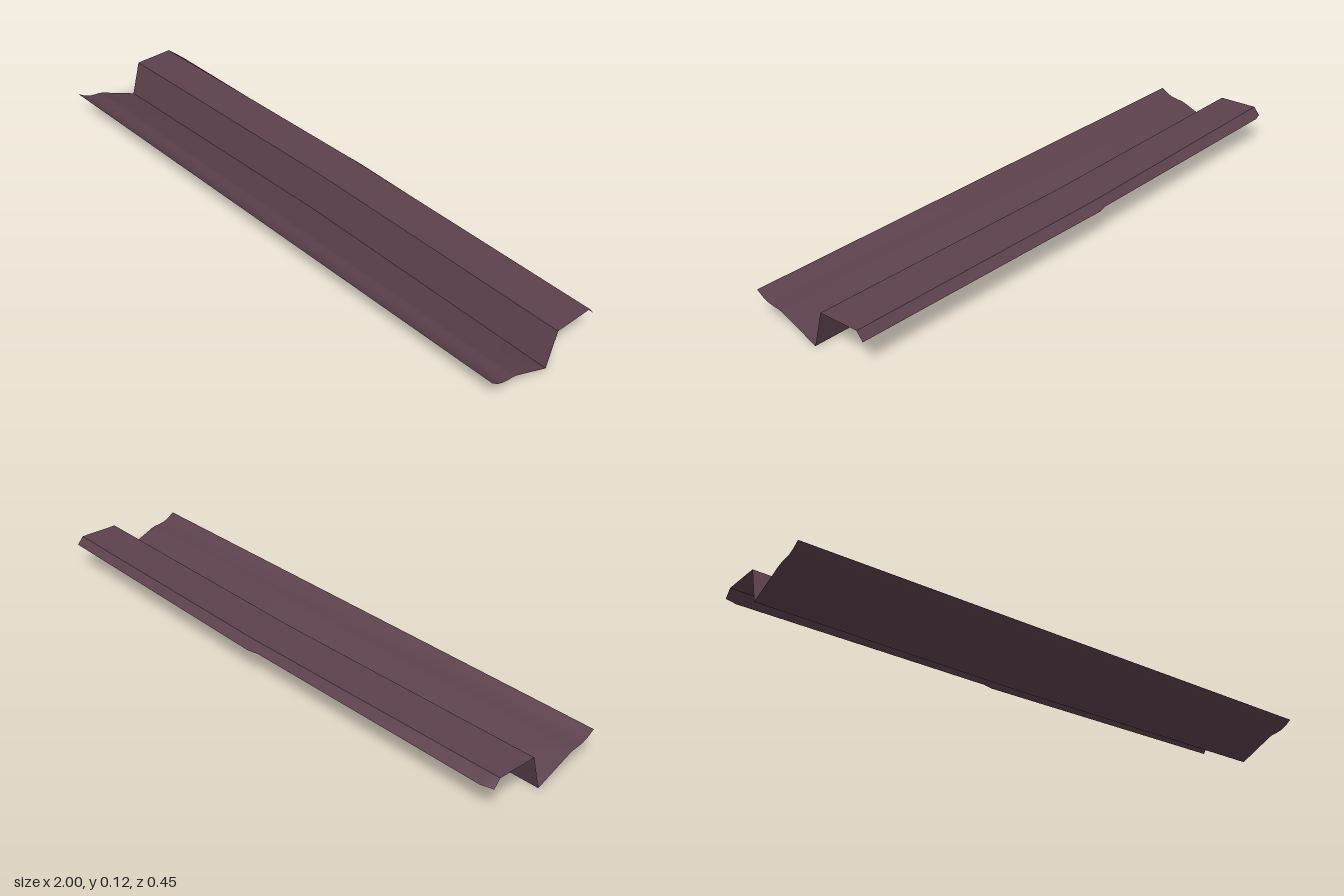
import * as THREE from 'three';

// Stations along the length; the middle bows slightly backwards.
const stations = [-1, -0.96, -0.75, -0.5, -0.25, -0.04, 0, 0.25, 0.5, 0.75, 1];
const bow = (x) => 0.016 * (1 - Math.abs(x));

// Rear edge of the hem: stepped on the -x half, straight taper on the other.
function hemEdge(x) {
  if (x >= 0) return -0.228 + 0.023 * x;
  if (x <= -0.96) return -0.205 - 0.012 * (x + 1) / 0.04;
  if (x <= -0.04) return -0.217 - 0.002 * (x + 0.96) / 0.92;
  return -0.228 - 0.009 * x / 0.04;
}

// Fold lines shared by neighbouring strips, as [z, y] at each x
const bottomFold = (x) => [-0.008 - bow(x), 0];
const topFold = (x) => [-0.042 - bow(x), 0.12];
const rearFold = (x) => [-0.183 - bow(x), 0.12];
const rearEdge = (x) => [hemEdge(x), 0.093];

// Sheet strip between lines listed from front to back
function strip(name, lines, material) {
  const positions = [];
  const index = [];
  const n = stations.length;
  for (const line of lines) {
    for (const x of stations) {
      const [z, y] = line(x);
      positions.push(x, y, z);
    }
  }
  for (let j = 0; j < lines.length - 1; j++) {
    for (let i = 0; i < n - 1; i++) {
      const a = j * n + i;
      index.push(a, a + 1, a + n + 1, a, a + n + 1, a + n);
    }
  }
  const geometry = new THREE.BufferGeometry();
  geometry.setAttribute('position', new THREE.Float32BufferAttribute(positions, 3));
  geometry.setIndex(index);
  geometry.computeVertexNormals();
  const mesh = new THREE.Mesh(geometry, material);
  mesh.name = name;
  return mesh;
}

export function createModel() {
  const group = new THREE.Group();
  group.name = 'foldedSheetProfile';
  const sheet = new THREE.MeshStandardMaterial({ color: 0x5c414c, side: THREE.DoubleSide });
  sheet.name = 'plum sheet metal';

  // Front flap with its gently curled lip
  const curl = [[0.227, 0.092], [0.203, 0.076], [0.182, 0.067], [0.16, 0.063], [0.14, 0.061], [0.125, 0.057]];
  const flapLines = curl.map((point) => () => point);

  group.add(
    strip('frontFlap', [...flapLines, bottomFold], sheet),
    strip('uprightWeb', [bottomFold, topFold], sheet),
    strip('topFlange', [topFold, rearFold], sheet),
    strip('rearHem', [rearFold, rearEdge], sheet),
  );
  return group;
}
